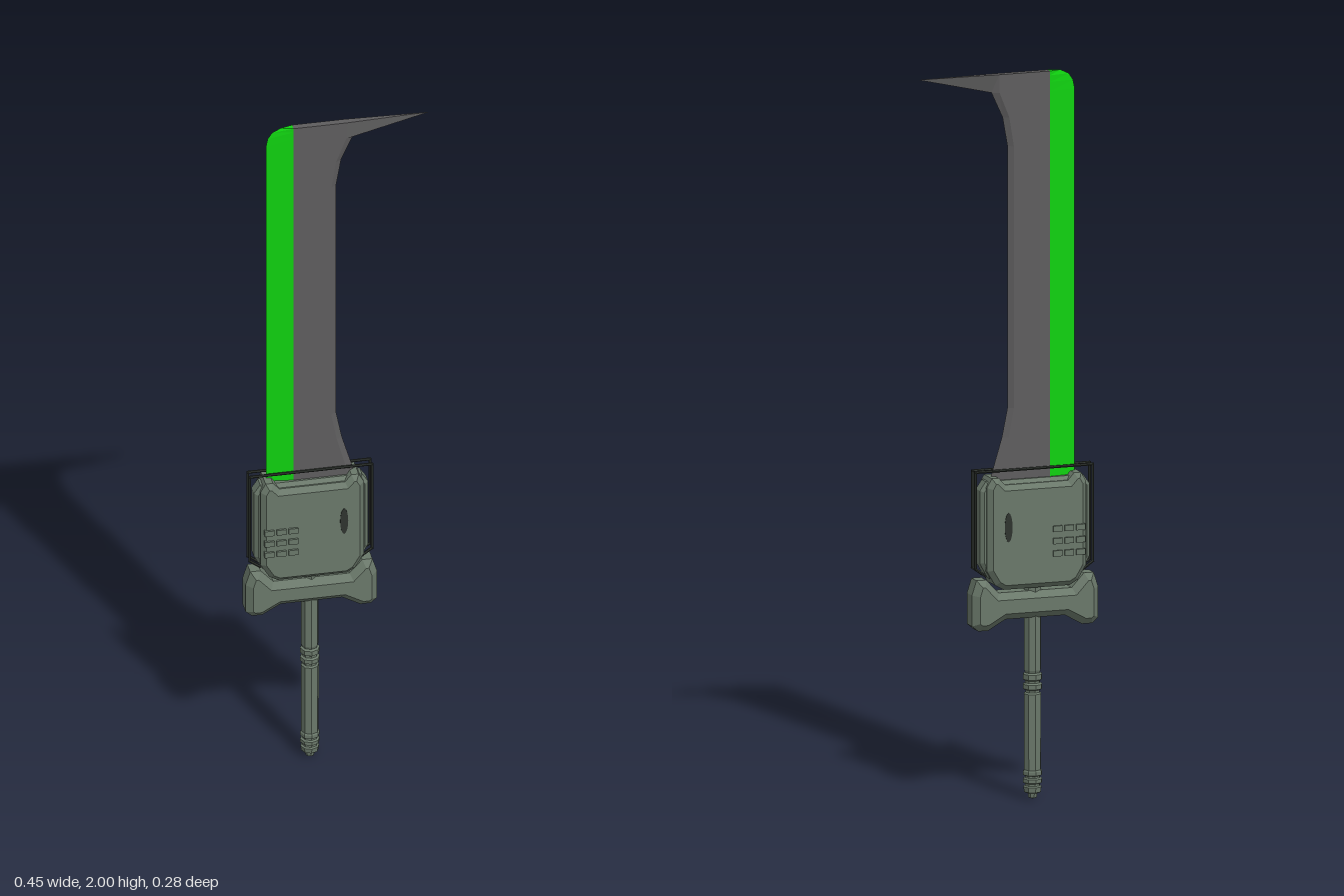
import * as THREE from 'three';

const mat = (color) => new THREE.MeshStandardMaterial({ color, flatShading: true });

export function createModel() {
  const model = new THREE.Group();
  model.name = 'sword';
  // The sword is built in its own x-y plane, then turned about the handle axis
  const sword = new THREE.Group();
  sword.name = 'swordBody';
  sword.rotation.y = -Math.PI / 6;
  sword.position.set(-0.062, 0, -0.029);
  model.add(sword);

  const armour = mat(0x6a786a), steel = mat(0x5e5d5e), glow = mat(0x10d210), dark = mat(0x2e332e);

  const add = (name, geometry, material, parent = sword) => {
    const mesh = new THREE.Mesh(geometry, material);
    mesh.name = name;
    parent.add(mesh);
    return mesh;
  };

  // Symmetric plate: right-hand outline from bottom centre to top centre, mirrored and bevelled
  const plate = (half, halfDepth, bevelSize, bevelThickness) => {
    const pts = [...half, ...half.slice().reverse().map(([x, y]) => [-x, y])];
    const shape = new THREE.Shape(pts.map(([x, y]) => new THREE.Vector2(x, y)));
    const depth = 2 * (halfDepth - bevelThickness);
    const g = new THREE.ExtrudeGeometry(shape, {
      depth, bevelEnabled: true, bevelSegments: 1, bevelSize, bevelThickness, bevelOffset: -bevelSize,
    });
    return g.translate(0, 0, -depth / 2);
  };

  // Skin over stacked horizontal loops [y, [[x, z], ...]], closed at both ends
  const loft = (rows) => {
    const pos = [];
    const v = (i, j) => {
      const [y, loop] = rows[i];
      const [x, z] = loop[j % loop.length];
      return [x, y, z];
    };
    const n = rows[0][1].length, last = rows.length - 1;
    for (let i = 0; i < last; i++) {
      for (let j = 0; j < n; j++) {
        const a = v(i, j), b = v(i, j + 1), c = v(i + 1, j + 1), d = v(i + 1, j);
        pos.push(...a, ...b, ...c, ...a, ...c, ...d);
      }
    }
    for (let j = 1; j < n - 1; j++) {
      pos.push(...v(last, 0), ...v(last, j), ...v(last, j + 1));
      pos.push(...v(0, 0), ...v(0, j + 1), ...v(0, j));
    }
    const g = new THREE.BufferGeometry();
    g.setAttribute('position', new THREE.Float32BufferAttribute(pos, 3));
    g.computeVertexNormals();
    return g;
  };

  // Steel blade: [height, cutting edge, bevel width], flaring at the base and ending in a hook
  const t = 0.01, seam = -0.047;
  const bladeRows = [
    [0.85, 0.13, 0.02], [0.91, 0.115, 0.018], [1.0, 0.088, 0.016], [1.08, 0.072, 0.015],
    [1.8, 0.072, 0.015], [1.88, 0.086, 0.016], [1.95, 0.118, 0.02], [2.0, 0.329, 0.23],
  ];
  add('blade', loft(bladeRows.map(([y, e, w]) =>
    [y, [[seam, t], [e - w, t], [e, 0], [e - w, -t], [seam, -t]]])), steel);

  // Glowing back edge with a rounded top corner
  const glowRows = [[0.85, -0.121], [1.945, -0.121], [1.97, -0.116], [1.988, -0.104], [2.0, -0.08]];
  add('glowingEdge', loft(glowRows.map(([y, o]) => [y, [[o, 0], [seam, t], [seam, -t]]])), glow);

  // Housing: a narrow core between the broad cover plates
  add('housingCore', plate([[0.1, 0.6], [0.135, 0.62], [0.157, 0.66], [0.157, 0.86], [0.14, 0.885]],
    0.026, 0.01, 0.01), armour);
  add('housingCovers', plate([[0.095, 0.587], [0.118, 0.6], [0.142, 0.64], [0.142, 0.87],
    [0.128, 0.895], [0.108, 0.895], [0.09, 0.875]], 0.045, 0.014, 0.014), armour);

  // Vent bumps and oval inset on both faces
  for (const side of [1, -1]) {
    const details = new THREE.Group();
    details.name = side > 0 ? 'frontDetails' : 'backDetails';
    sword.add(details);
    for (let row = 0; row < 3; row++) {
      for (let col = 0; col < 3; col++) {
        add('ventBump', new THREE.BoxGeometry(0.026, 0.016, 0.012), armour, details)
          .position.set(-0.055 - col * 0.033, 0.68 + row * 0.034, side * 0.045);
      }
    }
    const oval = add('ovalInset', new THREE.CylinderGeometry(1, 1, 0.004, 16), dark, details);
    oval.rotation.x = Math.PI / 2;
    oval.scale.set(0.011, 1, 0.04);
    oval.position.set(0.085, 0.76, side * 0.0445);
  }

  // Twin wire frames running over the top and down both ends of the housing
  const wirePath = [[-0.14, 0.625], [-0.168, 0.645], [-0.168, 0.911], [0.168, 0.911], [0.168, 0.645], [0.14, 0.625]];
  for (const z of [-0.013, 0.013]) {
    const frame = new THREE.Group();
    frame.name = 'wireFrame';
    sword.add(frame);
    for (let i = 0; i < wirePath.length - 1; i++) {
      const a = new THREE.Vector3(...wirePath[i], z), b = new THREE.Vector3(...wirePath[i + 1], z);
      const rod = add('wire', new THREE.CylinderGeometry(0.004, 0.004, a.distanceTo(b) + 0.005, 6), dark, frame);
      rod.position.copy(a).lerp(b, 0.5);
      rod.quaternion.setFromUnitVectors(new THREE.Vector3(0, 1, 0), b.sub(a).normalize());
    }
  }

  // Hand guard with flared ends, and the neck that carries the housing
  add('handGuard', plate([[0.085, 0.503], [0.135, 0.475], [0.163, 0.475], [0.181, 0.49], [0.181, 0.575],
    [0.168, 0.615], [0.14, 0.615], [0.105, 0.577]], 0.038, 0.018, 0.018), armour);
  add('neck', new THREE.CylinderGeometry(0.025, 0.025, 0.06, 8), armour).position.y = 0.58;

  // Turned eight-sided handle with a ringed grip and pommel
  const profile = [[0, 0], [0.012, 0.004], [0.014, 0.016], [0.024, 0.02], [0.026, 0.034], [0.021, 0.037],
    [0.021, 0.043], [0.027, 0.046], [0.027, 0.056], [0.021, 0.059], [0.021, 0.064], [0.027, 0.067],
    [0.027, 0.077], [0.024, 0.081], [0.025, 0.29], [0.02, 0.294], [0.02, 0.3], [0.027, 0.304],
    [0.027, 0.316], [0.021, 0.32], [0.021, 0.326], [0.027, 0.33], [0.027, 0.344], [0.021, 0.348],
    [0.024, 0.356], [0.024, 0.52]];
  add('handle', new THREE.LatheGeometry(profile.map(([r, y]) => new THREE.Vector2(r, y)), 8), armour);

  return model;
}
